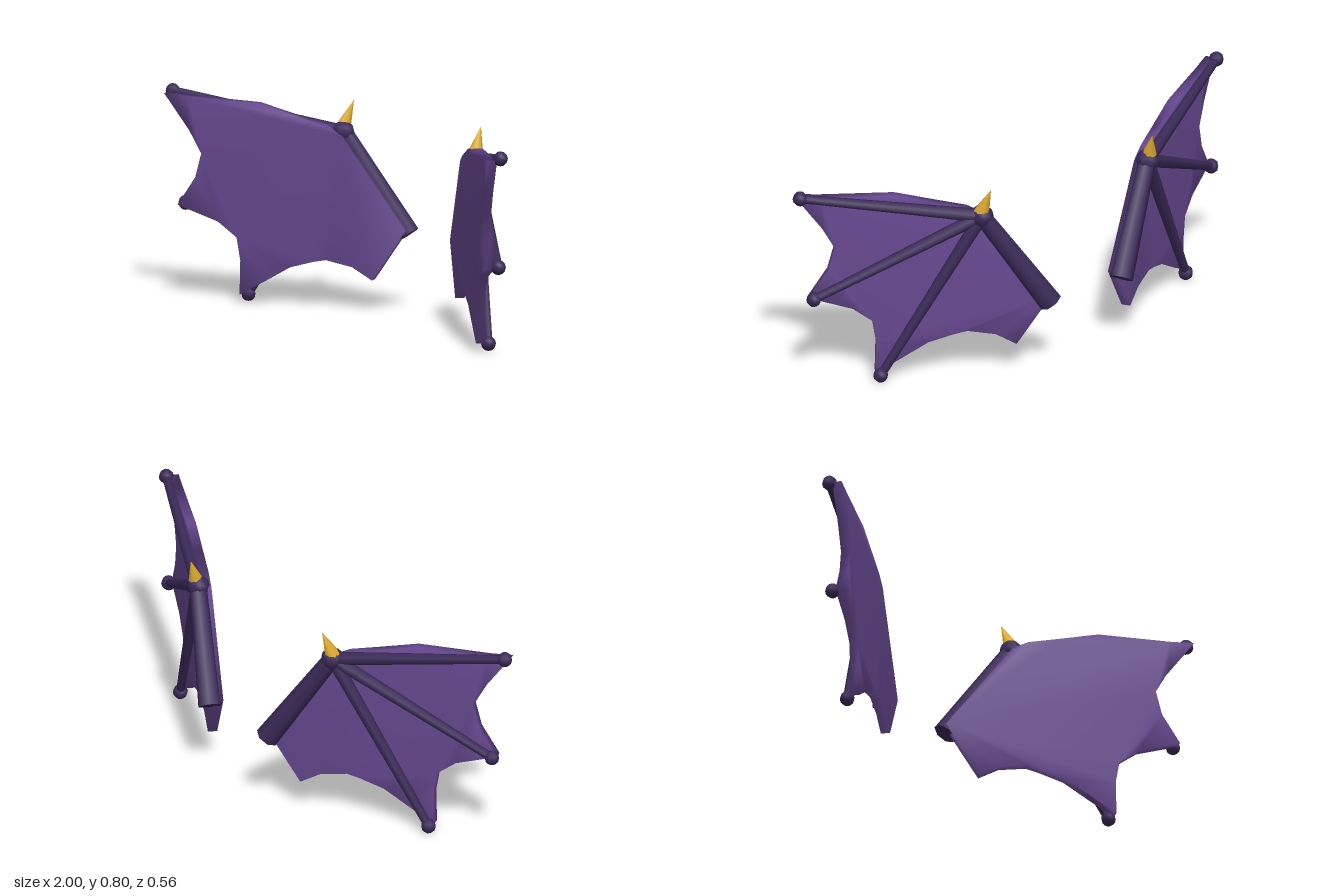
import * as THREE from 'three';
import { mergeVertices } from 'three/addons/utils/BufferGeometryUtils.js';

const membraneMat = new THREE.MeshStandardMaterial({ name: 'purple membrane', color: 0x664890 });
const boneMat = new THREE.MeshStandardMaterial({ name: 'dark purple bone', color: 0x3b2a58 });
const clawMat = new THREE.MeshStandardMaterial({ name: 'golden claw', color: 0xe0ac30 });

const BONE_Z = -0.29; // plane of the bones, behind the membrane

// Scalloped outline in the plane of the wing: [outward, up]
const OUTLINE = [
  [0.015, 0.31], [0.147, 0.117], [0.225, 0.162], [0.33, 0.182], [0.38, 0.172], [0.476, 0.145], [0.57, 0.09],
  [0.671, 0.033], [0.668, 0.16], [0.683, 0.245], [0.757, 0.3],
  [0.917, 0.353], [0.847, 0.46], [0.823, 0.55], [0.871, 0.635],
  [0.97, 0.767], [0.877, 0.76], [0.6, 0.751], [0.45, 0.712], [0.33, 0.682], [0.27, 0.65],
];
const SHOULDER = [0.022, 0.288];
const WRIST = [0.278, 0.657];
const FINGERTIPS = [[0.955, 0.77], [0.904, 0.355], [0.655, 0.03]];

function add(parent, name, geometry, material) {
  const mesh = new THREE.Mesh(geometry, material);
  mesh.name = name;
  parent.add(mesh);
  return mesh;
}

// Tapered rod between two points
function rod(parent, name, a, b, ra, rb, material, sides = 7) {
  const dir = b.clone().sub(a);
  const mesh = add(parent, name, new THREE.CylinderGeometry(rb, ra, dir.length(), sides), material);
  mesh.position.copy(a).addScaledVector(dir, 0.5);
  mesh.quaternion.setFromUnitVectors(new THREE.Vector3(0, 1, 0), dir.normalize());
  return mesh;
}

function buildWing(side) {
  const wing = new THREE.Group();
  wing.name = side > 0 ? 'leftWing' : 'rightWing';
  const at = ([u, v], z = BONE_Z) => new THREE.Vector3(side * u, v, z);

  // Membrane: thin plate with normals smoothed over its rim
  const shape = new THREE.Shape(OUTLINE.map(([u, v]) => new THREE.Vector2(side * u, v)));
  let plate = new THREE.ExtrudeGeometry(shape, { depth: 0.035, bevelEnabled: false });
  plate.translate(0, 0, -0.276);
  plate.deleteAttribute('normal');
  plate.deleteAttribute('uv');
  plate.clearGroups();
  plate = mergeVertices(plate, 1e-4);
  plate.computeVertexNormals();
  add(wing, 'membrane', plate, membraneMat);

  // Arm and wrist joint
  rod(wing, 'armBone', at(SHOULDER), at(WRIST), 0.045, 0.033, boneMat);
  add(wing, 'wristJoint', new THREE.SphereGeometry(0.043, 8, 6), boneMat).position.copy(at(WRIST));

  // Fingers fanning out from the wrist
  for (const tip of FINGERTIPS) {
    rod(wing, 'fingerBone', at(WRIST), at(tip), 0.026, 0.016, boneMat);
    add(wing, 'fingertip', new THREE.SphereGeometry(0.028, 8, 6), boneMat).position.copy(at(tip));
  }

  // Thumb claw on top of the wrist
  rod(wing, 'thumbClaw', at([0.284, 0.665], -0.294), at([0.249, 0.775], -0.322), 0.033, 0, clawMat, 8);

  // Wings sweep forward towards their tips
  wing.rotation.y = -side * Math.PI / 6;
  return wing;
}

export function createModel() {
  const model = new THREE.Group();
  model.name = 'wings';
  for (const side of [1, -1]) model.add(buildWing(side));
  return model;
}
